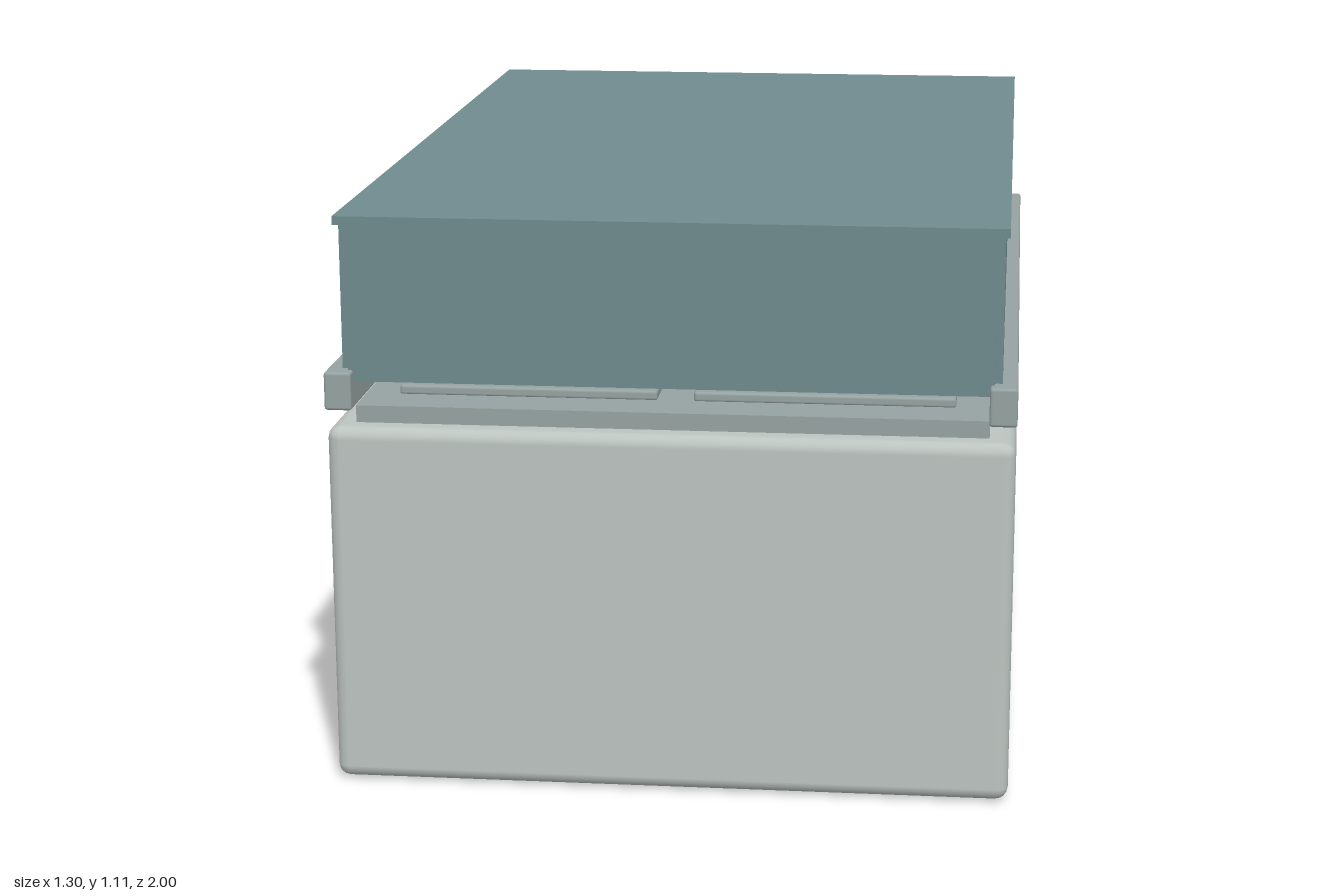
import * as THREE from 'three';
import { RoundedBoxGeometry } from 'three/addons/geometries/RoundedBoxGeometry.js';

const mat = (color) => new THREE.MeshStandardMaterial({ color });

export function createModel() {
  const model = new THREE.Group();
  const shell = mat(0xbcc4c0), metal = mat(0x96a3a1), glass = mat(0x6f8b8e);
  const dark = mat(0x202426), crust = mat(0x8a6248), leaf = mat(0x9a9a78);

  // Box given by its minimum and maximum corners; a radius rounds the edges
  function box(name, material, min, max, radius = 0, parent = model) {
    const s = max.map((v, i) => v - min[i]);
    const geo = radius ? new RoundedBoxGeometry(...s, 2, radius) : new THREE.BoxGeometry(...s);
    const mesh = new THREE.Mesh(geo, material);
    mesh.position.set(...max.map((v, i) => (v + min[i]) / 2));
    mesh.name = name;
    parent.add(mesh);
    return mesh;
  }

  // Cabinet, its base panel and the counter plate on top
  box('cabinet', shell, [-0.65, 0.004, -1], [0.65, 0.71, 1], 0.025);
  box('basePanel', dark, [-0.57, 0, -0.92], [0.57, 0.02, 0.92]);
  box('counterPlate', metal, [-0.6, 0.70, -0.955], [0.6, 0.743, 0.955]);

  // Cover: lid, front and back panes, side panes
  const cover = new THREE.Group();
  cover.name = 'cover';
  model.add(cover);
  box('lid', glass, [-0.63, 1.095, -0.978], [0.63, 1.112, 0.978], 0, cover);
  for (const s of [-1, 1]) {
    const z = s * 0.968, x = s * 0.615;
    box(s > 0 ? 'frontPane' : 'backPane', glass,
      [-0.608, 0.795, z - 0.007], [0.608, 1.1, z + 0.007], 0, cover);
    box(s > 0 ? 'leftPane' : 'rightPane', glass,
      [x - 0.007, 0.795, -0.96], [x + 0.007, 1.1, 0.96], 0, cover);
    // Side rail carrying the cover
    const r = s * 0.625;
    box(s > 0 ? 'leftRail' : 'rightRail', metal,
      [r - 0.026, 0.743, -1], [r + 0.026, 0.817, 1], 0.006);
  }

  // Two trays, each with two columns of rounded loaves
  const loafGeo = new THREE.SphereGeometry(1, 24, 12);
  for (const s of [-1, 1]) {
    const tray = new THREE.Group();
    tray.name = s > 0 ? 'leftTray' : 'rightTray';
    model.add(tray);
    const cx = s * 0.285;
    box('trayPlate', metal, [cx - 0.25, 0.741, -0.86], [cx + 0.25, 0.761, 0.86], 0.006, tray);
    for (let row = -3; row <= 3; row++) {
      const z = row * 0.25;
      box('filling', leaf, [cx - 0.13, 0.782, z - 0.05], [cx + 0.13, 0.789, z + 0.05], 0, tray);
      for (const side of [-1, 1]) {
        const loaf = new THREE.Mesh(loafGeo, crust);
        loaf.name = 'loaf';
        loaf.scale.set(0.105, 0.045, 0.105);
        loaf.position.set(cx + side * 0.125, 0.812, z);
        tray.add(loaf);
      }
    }
  }
  return model;
}
